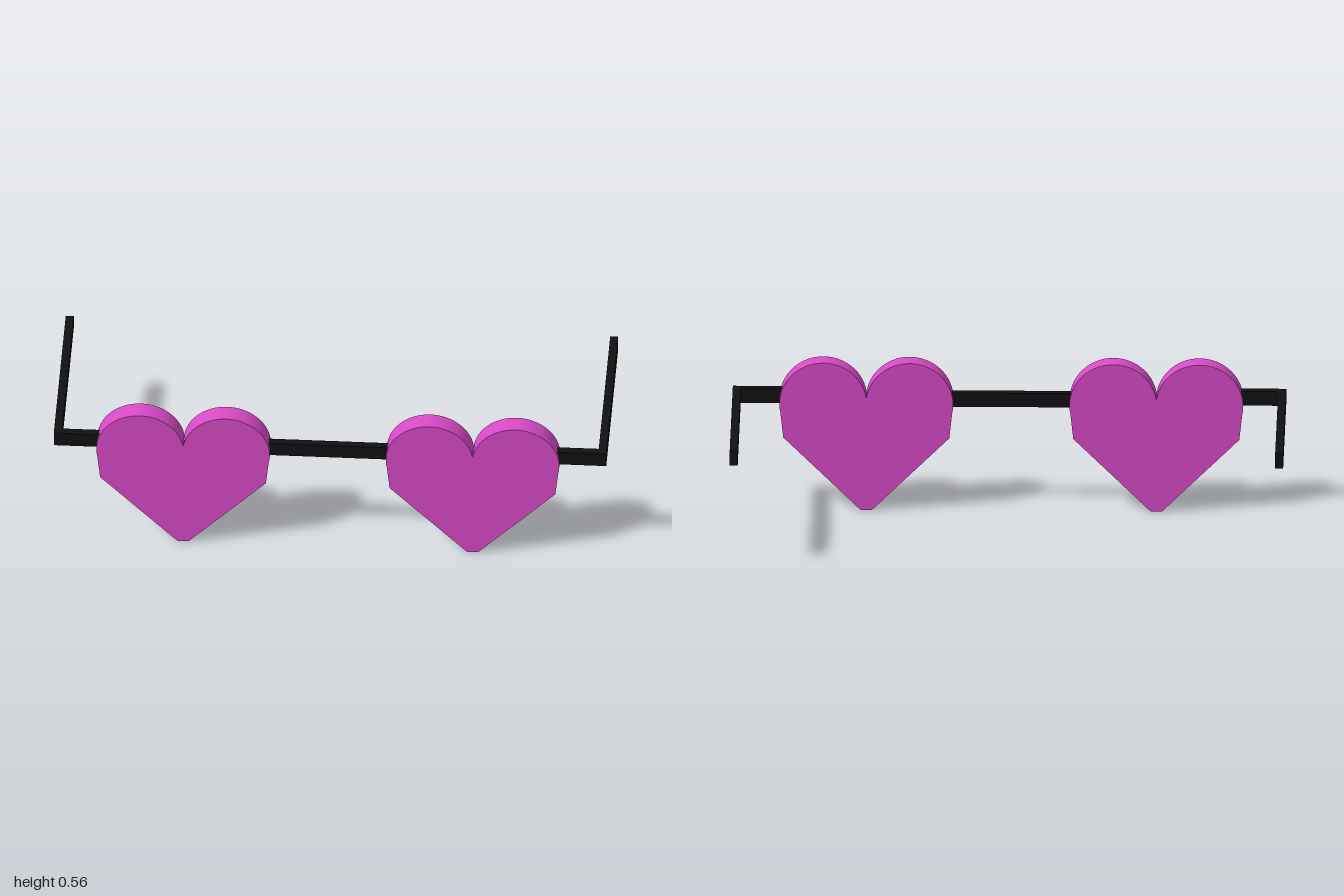
import * as THREE from 'three';

export function createModel() {
  const group = new THREE.Group();
  const pink = new THREE.MeshStandardMaterial({ color: 0xd94ac8 });
  const black = new THREE.MeshStandardMaterial({ color: 0x111111 });

  // Heart outline: two overlapping round lobes above a blunt tip
  const lobeX = 0.156, lobeY = 0.405, radius = 0.158;
  const notch = Math.asin(0.025 / radius), end = 0.22;
  const heart = new THREE.Shape();
  heart.moveTo(-0.02, 0);
  heart.lineTo(0.02, 0);
  heart.lineTo(0.3, 0.277);
  heart.absarc(lobeX, lobeY, radius, -end, Math.PI - notch, false);
  heart.absarc(-lobeX, lobeY, radius, notch, Math.PI + end, false);
  heart.lineTo(-0.3, 0.277);
  heart.closePath();
  const heartGeometry = new THREE.ExtrudeGeometry(heart, { depth: 0.073, bevelEnabled: false, curveSegments: 16 });

  // Box given by its minimum and maximum corners
  function bar(name, min, max) {
    const size = max.map((v, i) => v - min[i]);
    const mesh = new THREE.Mesh(new THREE.BoxGeometry(...size), black);
    mesh.position.set(...max.map((v, i) => (v + min[i]) / 2));
    mesh.name = name;
    group.add(mesh);
  }

  // Lenses
  for (const [name, x] of [['rightLens', -0.531], ['leftLens', 0.517]]) {
    const lens = new THREE.Mesh(heartGeometry, pink);
    lens.name = name;
    lens.position.set(x, 0, 0.285);
    group.add(lens);
  }

  // Bridge between the lenses
  bar('bridge', [-0.24, 0.39, 0.308], [0.225, 0.443, 0.336]);

  // Hinge stubs and temple arms
  bar('rightHinge', [-1, 0.4, 0.31], [-0.82, 0.455, 0.339]);
  bar('leftHinge', [0.81, 0.4, 0.31], [1, 0.455, 0.339]);
  bar('rightTemple', [-1, 0.4, -0.358], [-0.971, 0.455, 0.31]);
  bar('leftTemple', [0.971, 0.4, -0.358], [1, 0.455, 0.31]);

  return group;
}
